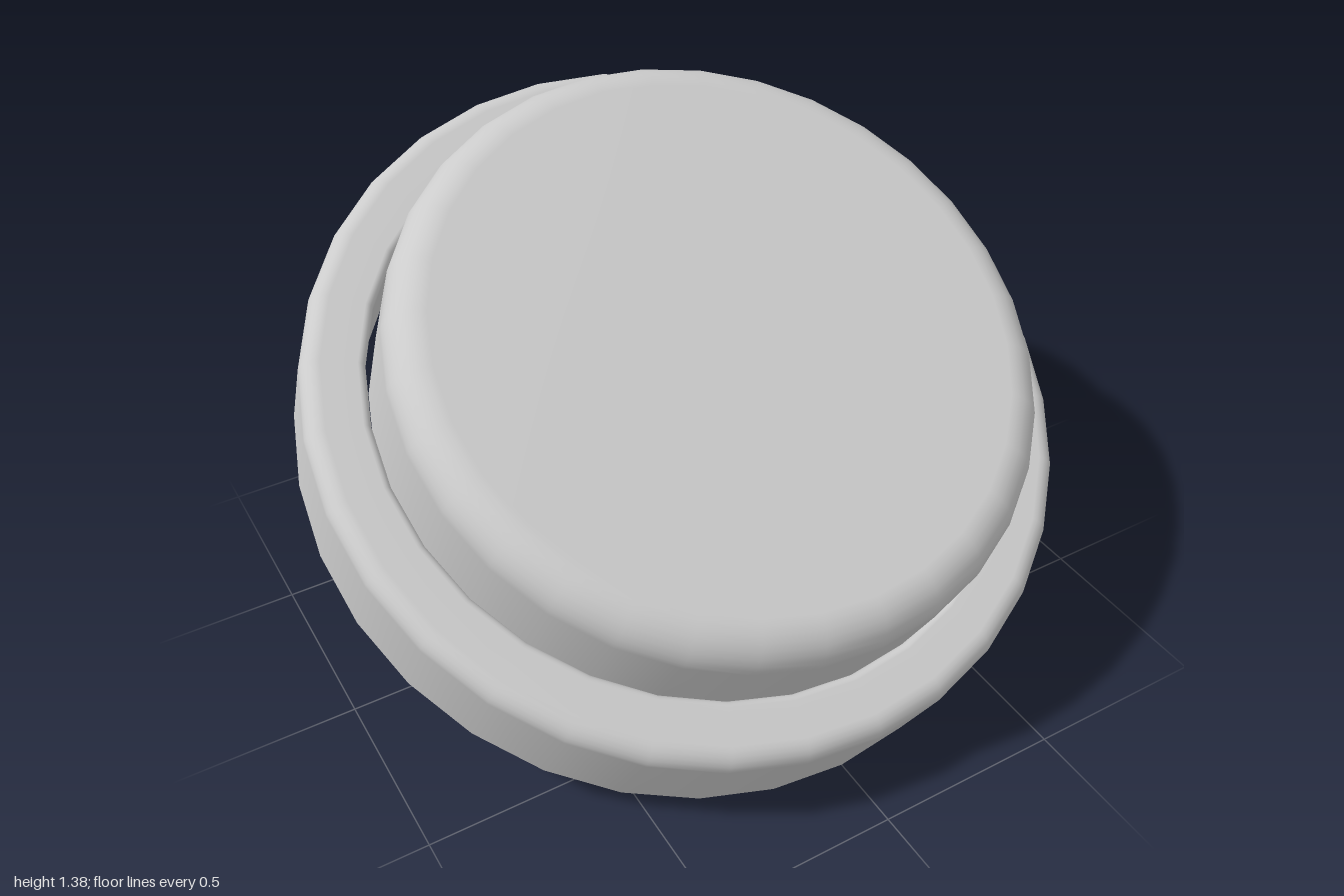
import * as THREE from 'three';

const SEGMENTS = 32;
const material = new THREE.MeshStandardMaterial({ color: 0xcccccc, side: THREE.DoubleSide });

// Quarter-round points of radius r about (cx, cy), from angle a to b in degrees
function fillet(cx, cy, r, a, b, steps = 6) {
  return Array.from({ length: steps + 1 }, (_, i) => {
    const t = THREE.MathUtils.degToRad(a + ((b - a) * i) / steps);
    return new THREE.Vector2(cx + r * Math.cos(t), cy + r * Math.sin(t));
  });
}

function turned(name, profile) {
  const mesh = new THREE.Mesh(new THREE.LatheGeometry(profile, SEGMENTS), material);
  mesh.name = name;
  return mesh;
}

export function createModel() {
  const model = new THREE.Group();
  model.name = 'pushButton';

  // Bezel: open-bottomed collar with a rounded rim and an inner lip
  const height = 0.31, outer = 1, hole = 0.84, rOut = 0.05, rIn = 0.02;
  const bezel = turned('bezelRing', [
    new THREE.Vector2(outer, 0),
    ...fillet(outer - rOut, height - rOut, rOut, 0, 90),
    ...fillet(hole + rIn, height - rIn, rIn, 90, 180),
    new THREE.Vector2(hole, 0.1),
  ]);

  // Cap: closed disc, rounded at both its lower and upper edge
  const capRadius = 0.828, capBottom = 0.07, capTop = 0.6, rCap = 0.1;
  const cap = turned('buttonCap', [
    new THREE.Vector2(0, capBottom),
    ...fillet(capRadius - rCap, capBottom + rCap, rCap, -90, 0, 8),
    ...fillet(capRadius - rCap, capTop - rCap, rCap, 0, 90, 8),
    new THREE.Vector2(0, capTop),
  ]);
  cap.position.z = 0.012;

  // Whole button leans towards the front
  const tilted = new THREE.Group();
  tilted.name = 'tiltedButton';
  tilted.add(bezel, cap);
  tilted.rotation.x = THREE.MathUtils.degToRad(29.5);
  tilted.position.set(0, 0.4925, -0.0675);
  model.add(tilted);
  return model;
}
